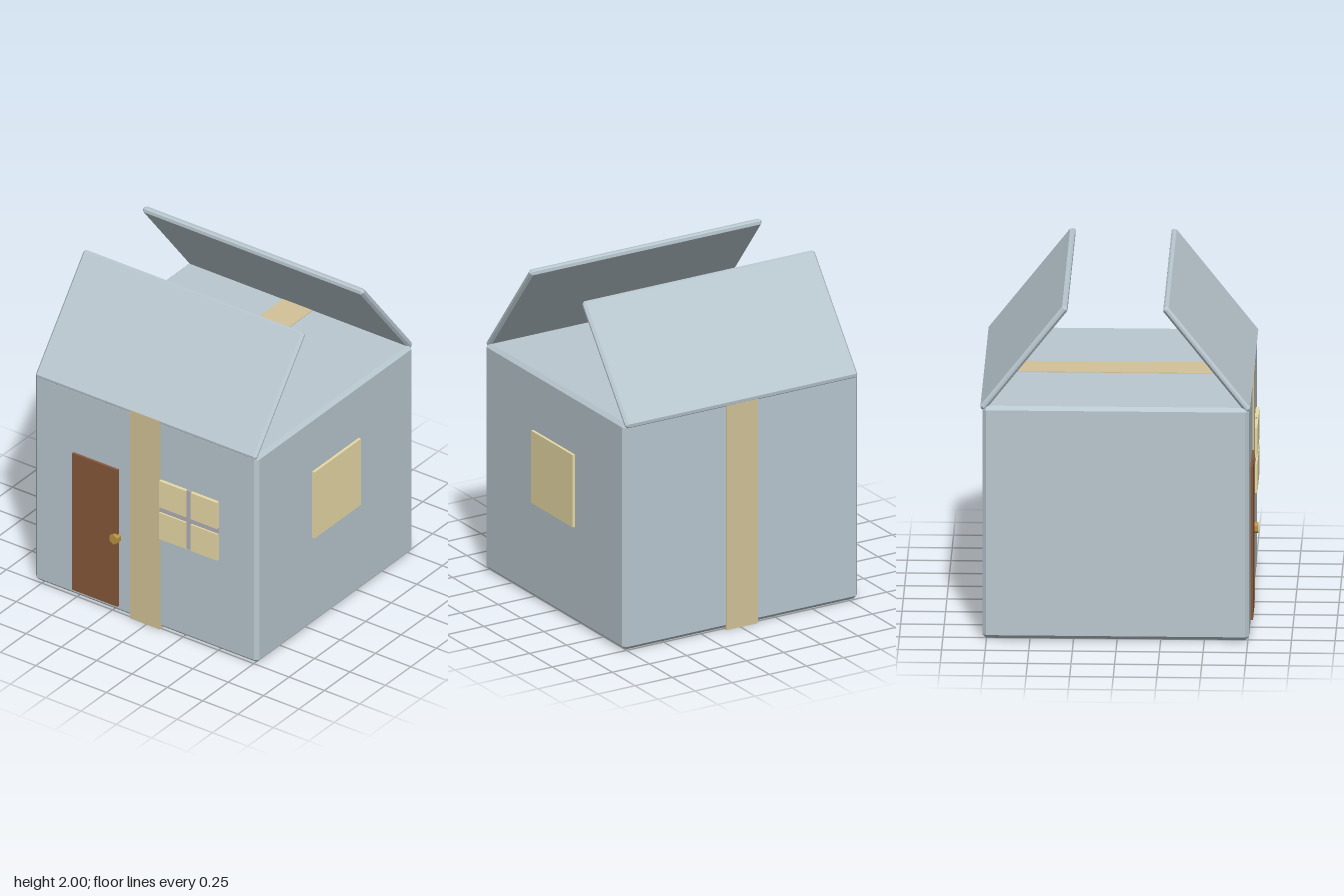
import * as THREE from 'three';
import { ConvexGeometry } from 'three/addons/geometries/ConvexGeometry.js';

const mat = (color) => new THREE.MeshStandardMaterial({ color, flatShading: true });
const card = mat(0xb9c7cf), tan = mat(0xd2c298), glass = mat(0xe8daa5);
const brown = mat(0x87583a), brass = mat(0xb8923f), grey = mat(0xb0b0b8);

// Box with every edge chamfered by c
function chamferBox(w, h, d, c) {
  const pts = [];
  for (const sx of [-1, 1]) for (const sy of [-1, 1]) for (const sz of [-1, 1]) {
    for (let full = 0; full < 3; full++) {
      const cut = [0, 1, 2].map((i) => (i === full ? 0 : c));
      pts.push(new THREE.Vector3(
        sx * (w / 2 - cut[0]), sy * (h / 2 - cut[1]), sz * (d / 2 - cut[2])));
    }
  }
  return new ConvexGeometry(pts);
}

export function createModel() {
  const house = new THREE.Group();
  house.name = 'cardboardHouse';

  const add = (name, geometry, material, x, y, z) => {
    const mesh = new THREE.Mesh(geometry, material);
    mesh.name = name;
    mesh.position.set(x, y, z);
    house.add(mesh);
    return mesh;
  };
  // Plain box given by its limits on each axis
  const slab = (name, material, [x0, x1], [y0, y1], [z0, z1]) =>
    add(name, new THREE.BoxGeometry(x1 - x0, y1 - y0, z1 - z0), material,
      (x0 + x1) / 2, (y0 + y1) / 2, (z0 + z1) / 2);

  // Closed box body
  add('boxBody', chamferBox(1.58, 1.392, 1.53, 0.022), card, -0.01, 0.704, -0.008);

  // Two raised flaps forming the open roof
  const flap = chamferBox(1.56, 0.785, 0.04, 0.014);
  const lean = Math.atan2(0.48, 0.61);
  add('frontFlap', flap, card, -0.01, 1.6875, 0.514).rotation.x = -lean;
  add('backFlap', flap, card, -0.01, 1.6875, -0.534).rotation.x = lean;

  // Packing tape wrapped around the body
  slab('tape', tan, [-0.115, 0.095], [0, 1.404], [-0.78, 0.765]);

  // Door and six-sided knob
  slab('door', brown, [-0.52, -0.2], [0.05, 0.97], [0.74, 0.772]);
  const knob = new THREE.CylinderGeometry(0.032, 0.032, 0.045, 6);
  knob.rotateX(Math.PI / 2);
  add('doorKnob', knob, brass, -0.212, 0.51, 0.772);

  // Front window: four panes with a recessed cross between them
  for (const x of [[0.1, 0.287], [0.323, 0.51]]) {
    for (const y of [[0.62, 0.797], [0.833, 1.01]]) {
      slab('windowPane', glass, x, y, [0.74, 0.778]);
    }
  }
  slab('windowBarVertical', grey, [0.287, 0.323], [0.62, 1.01], [0.74, 0.768]);
  slab('windowBarHorizontal', grey, [0.1, 0.51], [0.797, 0.833], [0.74, 0.7675]);

  // Side window
  slab('sideWindow', glass, [0.76, 0.797], [0.595, 1.04], [-0.235, 0.22]);

  return house;
}
